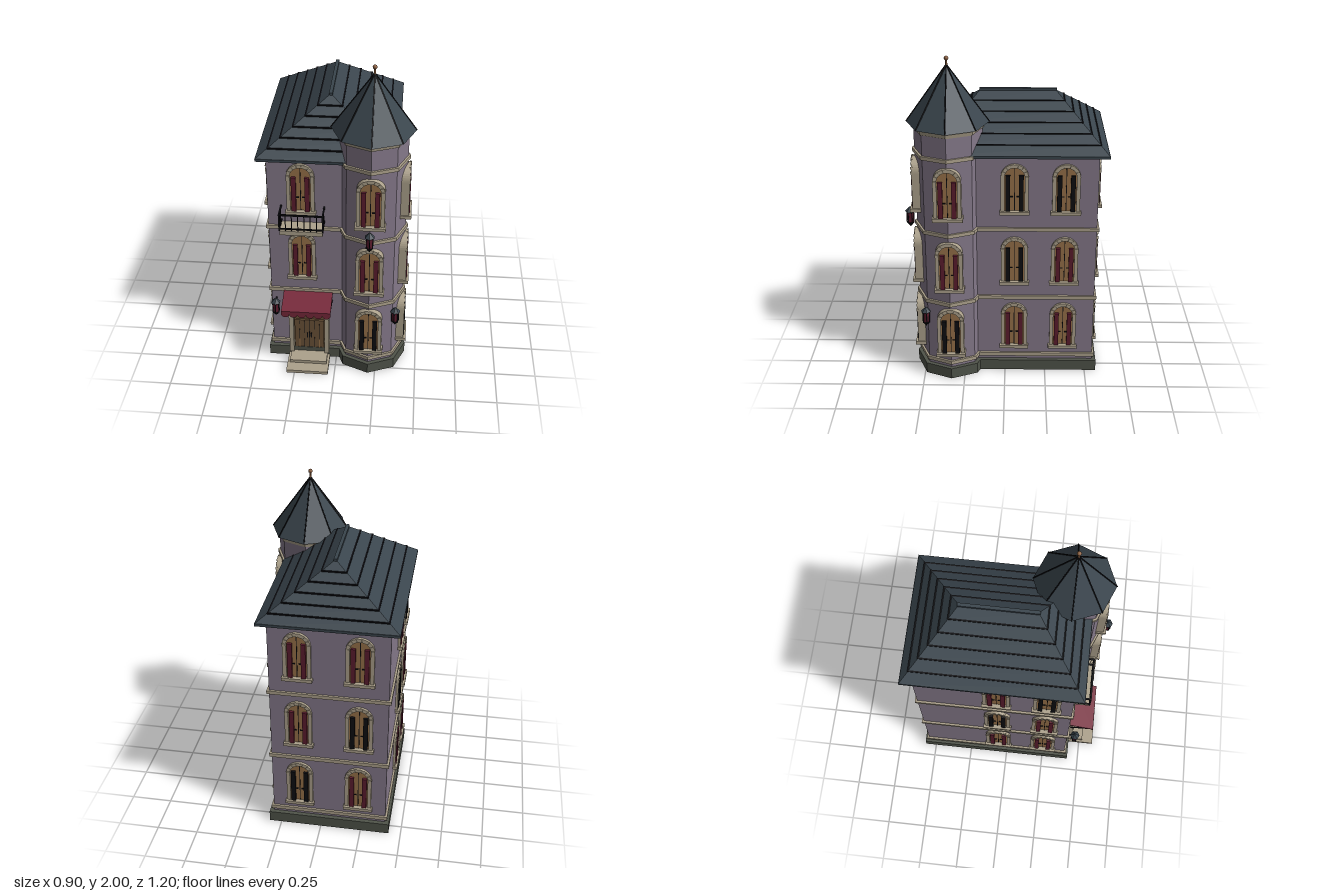
import * as THREE from 'three';

const mat = (name, color) => {
  const m = new THREE.MeshStandardMaterial({ color });
  m.name = name;
  return m;
};

export function createModel() {
  const root = new THREE.Group();
  root.name = 'townhouse';
  const M = {
    wall: mat('mauve wall', 0x85798a),
    trim: mat('stone trim', 0xada28c),
    slate: mat('slate roof', 0x3a454d),
    base: mat('dark foundation', 0x50544a),
    awning: mat('red awning', 0x76283a),
    wine: mat('wine glass', 0x5c1c2e),
    frame: mat('tan wood', 0x98724a),
    door: mat('brown wood', 0x6b5238),
    black: mat('black iron', 0x0d0d11),
    bronze: mat('bronze', 0x8c6040),
  };

  const add = (parent, name, geo, m, x = 0, y = 0, z = 0) => {
    const mesh = new THREE.Mesh(geo, m);
    mesh.name = name;
    mesh.position.set(x, y, z);
    parent.add(mesh);
    return mesh;
  };
  const box = (parent, name, m, w, h, d, x, y, z) =>
    add(parent, name, new THREE.BoxGeometry(w, h, d), m, x, y, z);
  const octagon = (rTop, rBottom, h) =>
    new THREE.CylinderGeometry(rTop, rBottom, h, 8).toNonIndexed();
  const flat = (geo) => { geo.computeVertexNormals(); return geo; };
  const group = (name, x, y, z, ry = 0) => {
    const g = new THREE.Group();
    g.name = name;
    g.position.set(x, y, z);
    g.rotation.y = ry;
    root.add(g);
    return g;
  };

  // Round-headed outline standing on y = 0
  const archPath = (P, w, h) => {
    const p = new P(), r = w / 2;
    p.moveTo(-r, 0);
    p.lineTo(r, 0);
    p.lineTo(r, h - r);
    p.absarc(0, h - r, r, 0, Math.PI, false);
    p.lineTo(-r, 0);
    return p;
  };
  const archSlab = (w, h, depth, holeW, holeH) => {
    const s = archPath(THREE.Shape, w, h);
    if (holeW) s.holes.push(archPath(THREE.Path, holeW, holeH));
    return new THREE.ExtrudeGeometry(s, { depth, bevelEnabled: false, curveSegments: 10 });
  };
  // Raised stones around an arch head
  const voussoirs = (g, r, cy, z, n, size) => {
    for (let i = 0; i < n; i++) {
      const a = Math.PI * i / (n - 1);
      box(g, 'archStone', M.trim, size, size * 0.7, 0.012, r * Math.cos(a), cy + r * Math.sin(a), z)
        .rotation.z = a;
    }
  };

  // Main block and tower
  const CX = -0.05, CZ = -0.0725, W = 0.7, D = 0.945, TX = 0.205, TZ = 0.33;
  box(root, 'mainWalls', M.wall, W, 1.4, D, CX, 0.75, CZ);
  box(root, 'foundation', M.base, W + 0.05, 0.07, D + 0.05, CX, 0.035, CZ);
  add(root, 'towerWalls', flat(octagon(0.2, 0.2, 1.56)), M.wall, TX, 0.83, TZ);
  add(root, 'towerFoundation', flat(octagon(0.225, 0.225, 0.07)), M.base, TX, 0.035, TZ);
  for (const [y, h] of [[0.105, 0.024], [0.515, 0.024], [0.976, 0.022], [1.445, 0.022]]) {
    box(root, 'wallBand', M.trim, W + 0.026, h, D + 0.026, CX, y, CZ);
    add(root, 'towerBand', flat(octagon(0.213, 0.213, h)), M.trim, TX, y, TZ);
  }
  add(root, 'towerCornice', flat(octagon(0.215, 0.207, 0.03)), M.trim, TX, 1.597, TZ);

  // Hipped roof in six lapped courses
  const course = (hx0, hz0, hx1, hz1, h) => {
    const g = new THREE.BoxGeometry(2, h, 2).toNonIndexed(), p = g.attributes.position;
    for (let i = 0; i < p.count; i++) {
      const top = p.getY(i) > 0;
      p.setX(i, p.getX(i) * (top ? hx1 : hx0));
      p.setZ(i, p.getZ(i) * (top ? hz1 : hz0));
    }
    return flat(g);
  };
  const HX = 0.4025, HZ = 0.5275;
  box(root, 'roofEave', M.slate, HX * 2, 0.016, HZ * 2, CX, 1.45, CZ);
  for (let i = 0; i < 6; i++) {
    const hx = HX - 0.0665 * i, hz = HZ - 0.0505 * i, y = 1.456 + 0.045 * i;
    add(root, 'roofCourse', course(hx, hz, hx - 0.0645, hz - 0.0505, 0.045), M.slate, CX, y + 0.0225, CZ);
    if (i) box(root, 'courseShadowLine', M.black, hx * 2 + 0.008, 0.007, hz * 2 + 0.008, CX, y, CZ);
  }
  box(root, 'roofRidge', M.slate, 0.02, 0.014, 0.46, CX, 1.73, CZ);

  // Tower spire with ribs and finial
  add(root, 'spire', flat(octagon(0, 0.24, 0.335)), M.slate, TX, 1.7825, TZ);
  const tip = new THREE.Vector3(TX, 1.952, TZ);
  for (let i = 0; i < 8; i++) {
    const a = i * Math.PI / 4;
    const foot = new THREE.Vector3(TX + 0.24 * Math.sin(a), 1.616, TZ + 0.24 * Math.cos(a));
    add(root, 'spireRib', new THREE.TubeGeometry(new THREE.LineCurve3(foot, tip), 1, 0.004, 5), M.black);
  }
  add(root, 'finialRod', new THREE.CylinderGeometry(0.005, 0.007, 0.05, 8), M.bronze, TX, 1.962, TZ);
  add(root, 'finialBall', new THREE.SphereGeometry(0.013, 12, 8), M.bronze, TX, 1.987, TZ);

  // Arched casement window, its outer face turned to +z before rotation
  const windowAt = (x, y, z, ry, glass, h = 0.305) => {
    const g = group('window', x, y, z, ry);
    box(g, 'sill', M.trim, 0.178, 0.02, 0.065, 0, 0.01, -0.0025);
    const w = 0.162, inner = 0.118, ih = h - 0.022;
    add(g, 'surround', archSlab(w, h, 0.052, inner, ih), M.trim, 0, 0.02, -0.037);
    voussoirs(g, 0.071, 0.02 + h - w / 2, 0.013, 9, 0.022);
    add(g, 'casement', archSlab(inner, ih, 0.041), M.frame, 0, 0.02, -0.037);
    box(g, 'centreLine', M.black, 0.004, ih - 0.004, 0.006, 0, 0.02 + ih / 2, 0.005);
    for (const s of [-1, 1]) {
      box(g, 'pane', glass, 0.027, 0.225, 0.018, s * 0.039, 0.133, 0.011);
      box(g, 'latch', M.black, 0.02, 0.006, 0.006, s * 0.02, 0.11, 0.006);
    }
  };
  const floors = [0.16, 0.61, 1.078];
  floors.forEach((y, f) => {
    const b = M.black, r = M.wine;
    if (f) windowAt(-0.205, y, 0.4, 0, r, 0.312);
    windowAt(TX, y, TZ + 0.2, 0, f ? r : b);
    windowAt(TX + 0.2, y, TZ, Math.PI / 2, f ? r : b);
    windowAt(0.3, y, -0.056, Math.PI / 2, f ? b : r, 0.295);
    windowAt(0.3, y, -0.357, Math.PI / 2, f === 2 ? b : r, 0.295);
    windowAt(-0.4, y, -0.056, -Math.PI / 2, f === 1 ? b : r, 0.295);
    windowAt(-0.4, y, 0.245, -Math.PI / 2, f === 2 ? b : r, 0.295);
    windowAt(0.13, y, -0.545, Math.PI, f ? r : b, 0.295);
    windowAt(-0.23, y, -0.545, Math.PI, f === 1 ? b : r, 0.295);
  });

  // Front door with steps
  const door = group('frontDoor', -0.17, 0, 0.4);
  box(door, 'lowerStep', M.trim, 0.26, 0.02, 0.19, 0, 0.01, 0.098);
  box(door, 'upperStep', M.trim, 0.23, 0.02, 0.12, 0, 0.03, 0.06);
  add(door, 'doorSurround', archSlab(0.248, 0.415, 0.06, 0.194, 0.388), M.trim, 0, 0.04, -0.02);
  voussoirs(door, 0.111, 0.33, 0.041, 11, 0.03);
  add(door, 'doorPanel', archSlab(0.194, 0.388, 0.03), M.door, 0, 0.04, -0.02);
  for (const s of [-1, 1]) {
    box(door, 'doorLeaf', M.door, 0.09, 0.245, 0.014, s * 0.047, 0.165, 0.015);
    box(door, 'doorHandle', M.black, 0.007, 0.035, 0.01, s * 0.012, 0.17, 0.024);
    for (const dx of [0.032, 0.062]) box(door, 'plankLine', M.black, 0.002, 0.235, 0.003, s * dx, 0.165, 0.022);
    box(door, 'doorStrip', M.frame, 0.006, 0.07, 0.004, s * 0.062, 0.1, 0.023);
  }
  box(door, 'doorGap', M.black, 0.004, 0.245, 0.006, 0, 0.165, 0.02);

  // Sloping awning with scalloped valance
  const awning = group('awning', -0.172, 0, 0.4);
  const side = new THREE.Shape([[0, 0.512], [0.165, 0.468], [0.165, 0.458], [0, 0.5]]
    .map(([z, y]) => new THREE.Vector2(-z, y)));
  const cloth = new THREE.ExtrudeGeometry(side, { depth: 0.3, bevelEnabled: false });
  add(awning, 'awningCloth', cloth, M.awning, -0.15, 0, 0).rotation.y = Math.PI / 2;
  const scallops = new THREE.Shape();
  scallops.moveTo(0.15, 0.468);
  scallops.lineTo(-0.15, 0.468);
  scallops.lineTo(-0.15, 0.448);
  for (let i = 0; i < 6; i++) scallops.absarc(-0.125 + i * 0.05, 0.448, 0.025, Math.PI, 2 * Math.PI, false);
  add(awning, 'valance', new THREE.ExtrudeGeometry(scallops, { depth: 0.006, bevelEnabled: false, curveSegments: 6 }),
    M.awning, 0, 0, 0.16);
  for (const s of [-1, 1]) {
    const arm = new THREE.LineCurve3(new THREE.Vector3(s * 0.145, 0.44, 0), new THREE.Vector3(s * 0.145, 0.462, 0.16));
    add(awning, 'awningArm', new THREE.TubeGeometry(arm, 1, 0.004, 5), M.black);
  }

  // Balcony with iron railing
  const balcony = group('balcony', -0.195, 0, 0.4);
  box(balcony, 'balconyFloor', M.trim, 0.25, 0.028, 0.11, 0, 1.0, 0.05);
  const rail = (w, d, x, z) => {
    box(balcony, 'topRail', M.black, w, 0.009, d, x, 1.122, z);
    box(balcony, 'bottomRail', M.black, w, 0.006, d, x, 1.028, z);
  };
  rail(0.262, 0.009, 0, 0.101);
  for (const s of [-1, 1]) {
    rail(0.009, 0.1, s * 0.126, 0.05);
    for (const z of [0.034, 0.068]) box(balcony, 'baluster', M.black, 0.005, 0.11, 0.005, s * 0.126, 1.068, z);
  }
  for (let i = 0; i < 8; i++) {
    const t = i % 7 ? 0.005 : 0.009;
    box(balcony, 'baluster', M.black, t, 0.11, t, -0.126 + i * 0.036, 1.068, 0.101);
  }

  // Hexagonal wall lanterns on brackets
  const lantern = (x, y, z, ry) => {
    const g = group('lantern', x, y, z, ry);
    const hex = (name, r1, r0, h, m, yy) => {
      const geo = new THREE.CylinderGeometry(r1, r0, h, 6).toNonIndexed();
      add(g, name, flat(geo), m, 0, yy, 0);
    };
    hex('lanternRoof', 0.003, 0.031, 0.03, M.slate, 0.115);
    hex('lanternGlass', 0.021, 0.017, 0.075, M.wine, 0.064);
    hex('lanternBase', 0.023, 0.012, 0.018, M.black, 0.02);
    hex('lanternDrop', 0.008, 0.003, 0.012, M.black, 0.006);
    for (let i = 0; i < 6; i++) {
      const a = i * Math.PI / 3;
      box(g, 'lanternBar', M.black, 0.005, 0.076, 0.005, 0.021 * Math.sin(a), 0.064, 0.021 * Math.cos(a));
    }
    box(g, 'lanternBracket', M.black, 0.008, 0.008, 0.045, 0, 0.098, -0.03);
  };
  lantern(-0.37, 0.345, 0.452, 0);
  lantern(TX, 0.945, 0.57, 0);
  lantern(0.365, 0.345, 0.482, Math.PI / 4);

  return root;
}
